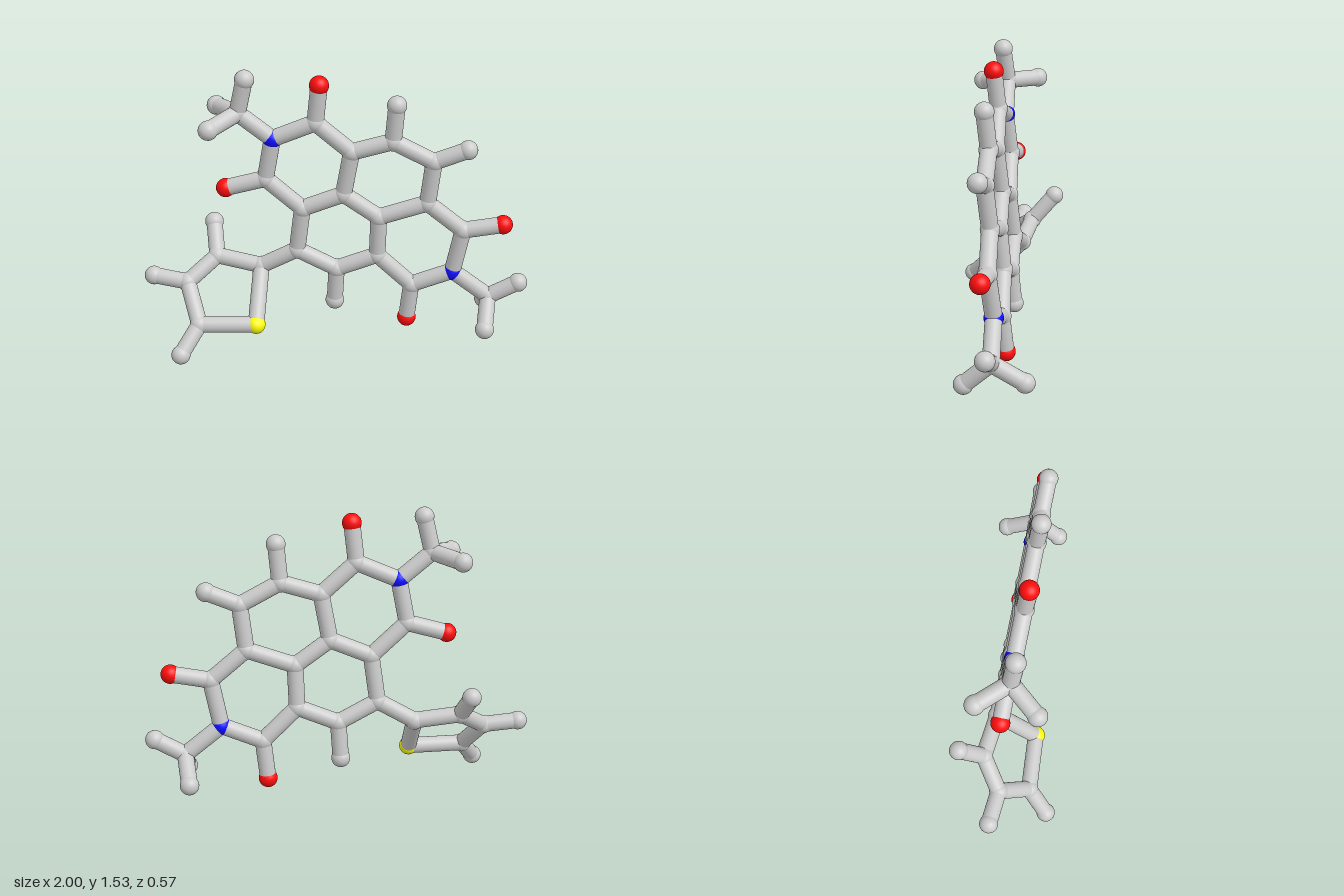
import * as THREE from 'three';

const ATOM_R = 0.049;
const BOND_R = 0.0425;

// The fused ring system lies in one slightly tilted plane
const plane = (x, y) => -0.074 + 0.067 * x + 0.093 * y;

// name: [element, x, y, z]; z falls on the ring plane when omitted
const ATOMS = {
  // fused rings
  n1: ['N', -0.31, 1.165], c1: ['C', -0.095, 1.26], o1: ['O', -0.075, 1.46],
  c2: ['C', 0.085, 1.105], c3: ['C', 0.29, 1.17], h3: ['H', 0.305, 1.365],
  c4: ['C', 0.495, 1.065], h4: ['H', 0.66, 1.135], c5: ['C', 0.47, 0.83],
  c6: ['C', 0.225, 0.74], c7: ['C', 0.045, 0.865], c8: ['C', -0.165, 0.775],
  c9: ['C', -0.35, 0.94], o9: ['O', -0.555, 0.88], c10: ['C', -0.195, 0.53],
  c11: ['C', 0.01, 0.425], h11: ['H', 0, 0.23], c12: ['C', 0.22, 0.515],
  c13: ['C', 0.4, 0.345], o13: ['O', 0.38, 0.14], n2: ['N', 0.61, 0.435],
  c14: ['C', 0.655, 0.68], o14: ['O', 0.855, 0.72],
  // upper methyl
  m1: ['C', -0.48, 1.3], m1a: ['H', -0.44, 1.48, 0.035],
  m1b: ['H', -0.613, 1.26, 0.155], m1c: ['H', -0.598, 1.285, -0.14],
  // lower methyl
  m2: ['C', 0.8, 0.29], m2a: ['H', 0.95, 0.378, 0.022],
  m2b: ['H', 0.778, 0.163, 0.14], m2c: ['H', 0.795, 0.19, -0.155],
  // five-sided side ring
  t1: ['C', -0.385, 0.42, -0.07], s: ['S', -0.405, 0.18, 0.137],
  t2: ['C', -0.7, 0.175, 0.133], h2: ['H', -0.79, 0.05, 0.233],
  t3: ['C', -0.77, 0.345, -0.02], h5: ['H', -0.95, 0.367, -0.05],
  t4: ['C', -0.62, 0.455, -0.113], h6: ['H', -0.642, 0.596, -0.235],
};

// Chains of bonded atoms
const CHAINS = [
  'n1 c1 c2 c7 c8 c9 n1', 'c2 c3 c4 c5 c6 c7', 'c8 c10 c11 c12 c6',
  'c12 c13 n2 c14 c5', 'c1 o1', 'c9 o9', 'c13 o13', 'c14 o14',
  'c3 h3', 'c4 h4', 'c11 h11',
  'n1 m1 m1a', 'm1b m1 m1c', 'n2 m2 m2a', 'm2b m2 m2c',
  'c10 t1 s t2 t3 t4 t1', 't2 h2', 't3 h5', 't4 h6',
];

const ELEMENTS = {
  C: ['carbonAtom', 0xcccccc], H: ['hydrogenAtom', 0xcccccc],
  O: ['oxygenAtom', 0xff0d0d], N: ['nitrogenAtom', 0x0d0dff], S: ['sulfurAtom', 0xffff0d],
};

export function createModel() {
  const model = new THREE.Group();
  model.name = 'molecule';
  const atoms = new THREE.Group();
  atoms.name = 'atoms';
  const bonds = new THREE.Group();
  bonds.name = 'bonds';
  model.add(atoms, bonds);

  // Atoms: equal spheres coloured by element
  const sphere = new THREE.SphereGeometry(ATOM_R, 32, 20);
  const materials = {};
  for (const [key, [, color]] of Object.entries(ELEMENTS)) {
    materials[key] = new THREE.MeshStandardMaterial({ color });
  }
  const position = {};
  for (const [key, [element, x, y, z = plane(x, y)]] of Object.entries(ATOMS)) {
    const atom = new THREE.Mesh(sphere, materials[element]);
    atom.name = ELEMENTS[element][0];
    atom.position.set(x, y, z);
    position[key] = atom.position;
    atoms.add(atom);
  }

  // Bonds: open rods running between atom centres
  const rod = new THREE.CylinderGeometry(BOND_R, BOND_R, 1, 28, 1, true);
  const up = new THREE.Vector3(0, 1, 0);
  for (const chain of CHAINS) {
    const keys = chain.split(' ');
    for (let i = 1; i < keys.length; i++) {
      const a = position[keys[i - 1]];
      const b = position[keys[i]];
      const dir = b.clone().sub(a);
      const bond = new THREE.Mesh(rod, materials.C);
      bond.name = 'bond';
      bond.position.copy(a).add(b).multiplyScalar(0.5);
      bond.scale.y = dir.length();
      bond.quaternion.setFromUnitVectors(up, dir.normalize());
      bonds.add(bond);
    }
  }
  return model;
}
